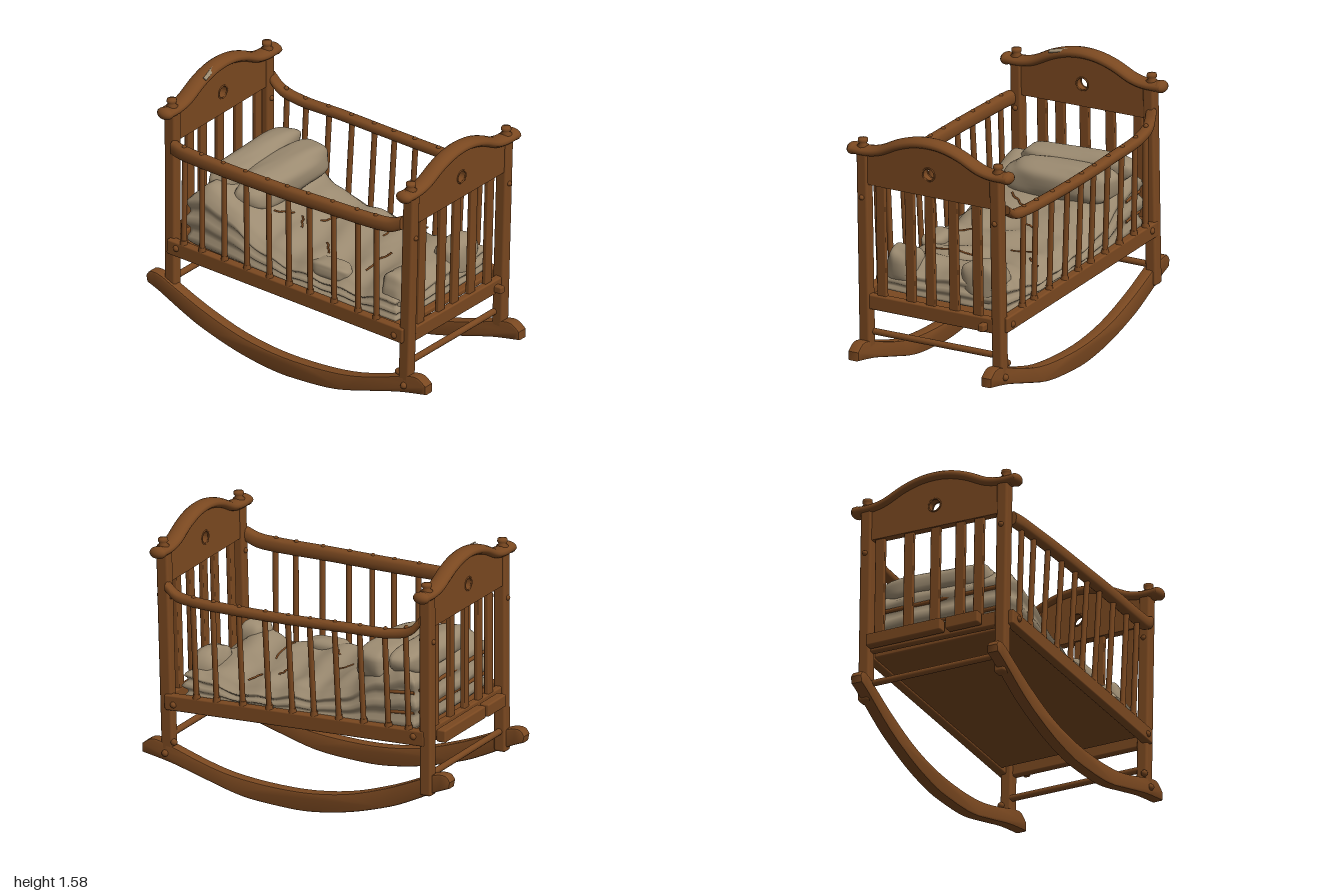
import * as THREE from 'three';
import { mergeVertices, toCreasedNormals } from 'three/addons/utils/BufferGeometryUtils.js';
import { RoundedBoxGeometry } from 'three/addons/geometries/RoundedBoxGeometry.js';

const wood = new THREE.MeshStandardMaterial({ color: 0x7a4820 });
wood.name = 'walnut wood';
const cloth = new THREE.MeshStandardMaterial({ color: 0x9c8b71 });
cloth.name = 'linen cloth';

const V = (x, y, z) => new THREE.Vector3(x, y, z);
const soft = v => Math.sign(v) * Math.pow(Math.abs(v), 0.7);
const box = (w, h, d, r = 0.01) => new RoundedBoxGeometry(w, h, d, 2, r);
const bedY = z => 0.54 - 0.04 * z; // the bed slopes up toward the head

function add(parent, name, geo, mat, x = 0, y = 0, z = 0) {
  const m = new THREE.Mesh(geo, mat);
  m.name = name;
  m.position.set(x, y, z);
  parent.add(m);
  return m;
}

// Round bar between two points
function rod(parent, name, a, b, r) {
  const m = add(parent, name, new THREE.CylinderGeometry(r, r, a.distanceTo(b), 12), wood);
  m.position.copy(a).lerp(b, 0.5);
  m.quaternion.setFromUnitVectors(V(0, 1, 0), b.clone().sub(a).normalize());
}

// Piecewise linear lookup in rows whose first column falls
function lookup(rows, k, col = 1) {
  if (k >= rows[0][0]) return rows[0][col];
  for (let i = 1; i < rows.length; i++) {
    const [a, b] = [rows[i - 1], rows[i]];
    if (k >= b[0]) return THREE.MathUtils.lerp(a[col], b[col], (a[0] - k) / (a[0] - b[0]));
  }
  return rows[rows.length - 1][col];
}

// Curved rocker: side outline extruded across its width
function rockerGeometry() {
  const top = [[0.985, 0.225], [0.93, 0.26], [0.85, 0.25], [0.6, 0.17], [0.4, 0.125], [0.15, 0.105], [-0.1, 0.11],
    [-0.35, 0.15], [-0.6, 0.23], [-0.8, 0.315], [-0.9, 0.36], [-0.965, 0.365], [-0.992, 0.335]];
  const bottom = [[-0.985, 0.3], [-0.9, 0.265], [-0.75, 0.19], [-0.6, 0.125], [-0.35, 0.05], [-0.1, 0.008],
    [0.1, 0.005], [0.35, 0.025], [0.6, 0.09], [0.8, 0.145], [0.985, 0.18]];
  const pts = a => new THREE.SplineCurve(a.map(p => new THREE.Vector2(...p))).getPoints(40);
  const g = new THREE.ExtrudeGeometry(new THREE.Shape([...pts(top), ...pts(bottom)]), {
    depth: 0.05, bevelEnabled: true, bevelSize: 0.01, bevelOffset: -0.004, bevelThickness: 0.01, bevelSegments: 2 });
  return toCreasedNormals(g.translate(0, 0, -0.025).rotateY(-Math.PI / 2), 0.6);
}

// Crest line shared by the end panel and its cap rail
const half = [[0.52, 1.41], [0.42, 1.408], [0.33, 1.425], [0.2, 1.485], [0.1, 1.515]];
const crestPts = [...half.map(([x, y]) => [-x, y]), [0, 1.525], ...[...half].reverse()];
const crest = new THREE.CatmullRomCurve3(crestPts.map(([x, y]) => V(x, y, 0)));

function makeEnd(name, slats, lowY) {
  const g = new THREE.Group();
  g.name = name;
  const profile = [[0, -0.05], [0.03, -0.05], [0.035, 0], [0.02, 0.012], [0.03, 0.025], [0.028, 0.042], [0, 0.05]];
  for (const s of [-1, 1]) {
    add(g, 'post', box(0.07, 1.2, 0.075, 0.015), wood, s * 0.437, 0.81, 0);
    add(g, 'railKnob', new THREE.SphereGeometry(0.042, 16, 12).scale(0.9, 0.85, 1.25), wood, s * 0.505, 1.408, 0);
    add(g, 'finial', new THREE.LatheGeometry(profile.map(p => new THREE.Vector2(...p)), 14), wood, s * 0.445, 1.435, 0);
    for (const z of [-0.037, 0.037]) add(g, 'postBolt', new THREE.SphereGeometry(0.016, 10, 8), wood, s * 0.437, 1.13, z);
  }
  // Arched panel with a round hole
  const shape = new THREE.Shape([new THREE.Vector2(-0.42, 1.21), new THREE.Vector2(0.42, 1.21)]);
  for (const p of crest.getPoints(60).reverse()) if (Math.abs(p.x) < 0.42) shape.lineTo(p.x, p.y);
  const hole = new THREE.Path();
  hole.absarc(0, 1.345, 0.037, 0, Math.PI * 2, true);
  shape.holes.push(hole);
  const panel = new THREE.ExtrudeGeometry(shape, { depth: 0.05, bevelEnabled: false, curveSegments: 24 });
  add(g, 'panel', toCreasedNormals(panel, 0.6), wood, 0, 0, -0.025);
  for (const z of [-0.025, 0.025]) add(g, 'holeRim', new THREE.TorusGeometry(0.038, 0.005, 8, 28), wood, 0, 1.345, z);
  add(g, 'capRail', new THREE.TubeGeometry(crest, 64, 0.03, 14).scale(1, 1, 1.75), wood);
  // Slats and the rail that carries them
  const low = lowY - 0.02;
  for (const x of slats) add(g, 'slat', box(0.06, 1.24 - low, 0.028, 0.006), wood, x, (1.24 + low) / 2, 0);
  add(g, 'lowerRail', box(0.84, 0.09, 0.045), wood, 0, lowY, 0.005);
  return g;
}

// Sweep of a rounded section along a path running front to back
function railGeometry(path, w, h) {
  const curve = new THREE.CatmullRomCurve3(path.map(([z, x, y]) => V(x, y, z)));
  const g = new THREE.CylinderGeometry(1, 1, 1, 16, 48);
  const p = g.attributes.position;
  for (let i = 0; i < p.count; i++) {
    const c = curve.getPoint(p.getY(i) + 0.5);
    p.setXYZ(i, c.x + soft(p.getX(i)) * w, c.y + soft(p.getZ(i)) * h, c.z);
  }
  g.deleteAttribute('uv');
  return toCreasedNormals(g, 0.9);
}

function makeSide(s) {
  const g = new THREE.Group();
  g.name = s > 0 ? 'leftSide' : 'rightSide';
  const ys = s > 0 ? [1.2, 1.155, 1.142, 1.142, 1.15, 1.165, 1.175, 1.21, 1.28]
    : [1.22, 1.19, 1.18, 1.18, 1.18, 1.185, 1.19, 1.195, 1.2];
  const zs = [0.83, 0.76, 0.65, 0.3, 0, -0.35, -0.62, -0.75, -0.81];
  const xs = [0.465, 0.477, 0.485, 0.495, 0.498, 0.495, 0.485, 0.475, 0.46];
  const path = zs.map((z, i) => [z, s * xs[i], ys[i]]);
  const h = s > 0 ? 0.028 : 0.042;
  add(g, 'topRail', railGeometry(path, 0.034, h), wood);
  // Balusters, their collars and the pegs on the top rail
  for (const z of [0.65, 0.52, 0.35, 0.18, 0.03, -0.11, -0.27, -0.43, -0.59, -0.72]) {
    const x = lookup(path, z, 1), y = lookup(path, z, 2);
    rod(g, 'baluster', V(s * 0.468, bedY(z) + 0.02, z - 0.01), V(x, y, z + 0.005), 0.0165);
    add(g, 'collar', new THREE.CylinderGeometry(0.02, 0.023, 0.03, 12), wood, s * 0.468, bedY(z) + 0.055, z - 0.01);
    add(g, 'peg', new THREE.SphereGeometry(0.014, 10, 8), wood, x, y + h - 0.004, z);
  }
  // Sloping bed rail, bolts and rocker
  add(g, 'bedRail', box(0.055, 0.092, 1.68), wood, s * 0.462, 0.54, 0).rotation.x = 0.04;
  for (const [x, y, z] of [[0.485, 0.5, 0.78], [0.485, 0.58, -0.77], [0.475, 0.195, 0.84], [0.46, 0.265, 0.79]])
    add(g, 'bolt', new THREE.SphereGeometry(0.02, 12, 8), wood, s * x, y, z);
  add(g, 'rocker', rockerGeometry(), wood, s * 0.437, 0, 0);
  return g;
}

// Height of the rumpled quilt
const quiltRows = [[0.74, 0.74], [0.66, 0.75], [0.5, 0.715], [0.3, 0.7], [0, 0.735], [-0.2, 0.77], [-0.35, 0.84],
  [-0.5, 0.93], [-0.65, 0.97], [-0.77, 0.96]];
const quiltTop = (x, z) => lookup(quiltRows, z) + 0.011 * Math.sin(z * 26 + Math.sin(x * 6) * 1.2)
  + 0.008 * Math.sin(x * 17 + z * 9);

// Quilt: a soft box whose top follows the height rule, with layered sides
function quiltGeometry() {
  let g = new THREE.BoxGeometry(2, 1, 2, 44, 12, 72);
  g.deleteAttribute('uv');
  g.deleteAttribute('normal');
  g = mergeVertices(g);
  const p = g.attributes.position;
  for (let i = 0; i < p.count; i++) {
    const u = p.getX(i), t = p.getY(i) + 0.5, v = p.getZ(i);
    const edge = Math.max(Math.abs(u), Math.abs(v));
    const tuck = 1 - 0.04 * Math.pow(Math.abs(2 * t - 1), 3);
    const x = 0.015 + u * 0.43 * tuck * (1 - 0.03 * v * v);
    const z = -0.01 + v * 0.76 * tuck * (1 - 0.02 * u * u) + 0.008 * Math.sin(u * 9) * t;
    const swell = 0.014 * Math.sin(t * 16) * Math.pow(edge, 8);
    const top = quiltTop(x, z) - 0.06 * Math.pow(edge, 10);
    p.setXYZ(i, x + u * swell, THREE.MathUtils.lerp(bedY(z) + 0.015, top, t), z + v * swell);
  }
  g.computeVertexNormals();
  return g;
}

// Soft lump of folded cloth with gentle wrinkles
function lump(parent, name, [a, b, c], [px, py, pz], phase, tilt = 0) {
  let g = new THREE.SphereGeometry(1, 36, 24);
  const p = g.attributes.position;
  for (let i = 0; i < p.count; i++) {
    const x = p.getX(i), y = p.getY(i), z = p.getZ(i);
    const k = 1 + 0.04 * Math.sin(x * 5 + y * 4 + phase) + 0.03 * Math.sin(z * 6 - x * 3 + phase);
    p.setXYZ(i, soft(x) * a * k, soft(y) * b * k, soft(z) * c * k);
  }
  g.deleteAttribute('uv');
  g.deleteAttribute('normal');
  g = mergeVertices(g, 1e-4);
  g.computeVertexNormals();
  add(parent, name, g, cloth, px, py, pz).rotation.z = tilt;
}

export function createModel() {
  const model = new THREE.Group();
  model.name = 'rockingCradle';
  const foot = makeEnd('footEnd', [-0.33, -0.14, -0.01, 0.145, 0.3], 0.498);
  foot.position.z = 0.825;
  foot.rotation.x = 0.03;
  const head = makeEnd('headEnd', [-0.28, -0.16, 0, 0.17, 0.355], 0.56);
  head.position.set(0.02, 0.018, -0.847);
  head.rotation.set(0.008, 0, 0.012);
  const patch = add(head, 'wornPatch', box(0.15, 0.024, 0.008, 0.003), cloth, -0.13, 1.528, 0.034);
  patch.rotation.set(-0.9, 0, 0.26);
  model.add(foot, head, makeSide(1), makeSide(-1));

  // Outer boards behind the head, stretchers and bed floor
  add(model, 'headBoard', box(0.21, 0.075, 0.06), wood, -0.205, 0.575, -0.905);
  add(model, 'headBoard', box(0.48, 0.075, 0.06), wood, 0.17, 0.58, -0.905);
  add(model, 'footBlock', box(0.04, 0.045, 0.08), wood, 0.355, 0.49, 0.875);
  rod(model, 'stretcher', V(-0.43, 0.305, 0.815), V(0.43, 0.308, 0.815), 0.019);
  rod(model, 'stretcher', V(-0.43, 0.345, -0.845), V(0.43, 0.345, -0.845), 0.019);
  add(model, 'bedFloor', box(0.88, 0.035, 1.53), wood, 0, 0.525, -0.01).rotation.x = 0.04;

  // Bedding
  add(model, 'quilt', quiltGeometry(), cloth);
  lump(model, 'pillowFold', [0.36, 0.11, 0.135], [0.085, 0.915, -0.45], 0.4, 0.05);
  lump(model, 'pillowFold', [0.37, 0.085, 0.105], [0.075, 0.955, -0.645], 2, 0.04);
  for (const [x, w, phase] of [[-0.28, 0.105, 1], [0.245, 0.145, 3]])
    lump(model, 'footFold', [w, 0.125, 0.085], [x, 0.675, 0.665], phase);
  lump(model, 'sideFold', [0.07, 0.05, 0.13], [-0.33, 0.69, 0.22], 2);

  // Brown gaps between the folds: on the quilt top [x, z, length, angle], then along its sides
  for (const [x, z, len, a] of [[-0.11, -0.29, 0.13, 0.5], [-0.1, -0.17, 0.14, -0.6], [0.08, -0.1, 0.14, 0.4],
    [-0.2, 0.09, 0.14, -0.7], [0.22, 0.21, 0.15, -0.1], [-0.12, 0.39, 0.28, -0.1], [0.36, 0.32, 0.1, 0.5]]) {
    const pts = [-0.5, -0.25, 0, 0.25, 0.5].map((k, i) => {
      const cx = x + k * len * Math.cos(a), cz = z + k * len * Math.sin(a) + (i % 2) * 0.008;
      return V(cx, quiltTop(cx, cz) + 0.001, cz);
    });
    add(model, 'crease', new THREE.TubeGeometry(new THREE.CatmullRomCurve3(pts), 20, 0.006, 6), wood);
  }
  for (const y of [0.69, 0.82]) rod(model, 'layerGap', V(-0.36, y, -0.757), V(0.38, y, -0.757), 0.012);
  for (const y of [0.68, 0.8]) rod(model, 'layerGap', V(0.424, y, -0.58), V(0.42, y + 0.015, -0.74), 0.01);
  return model;
}
